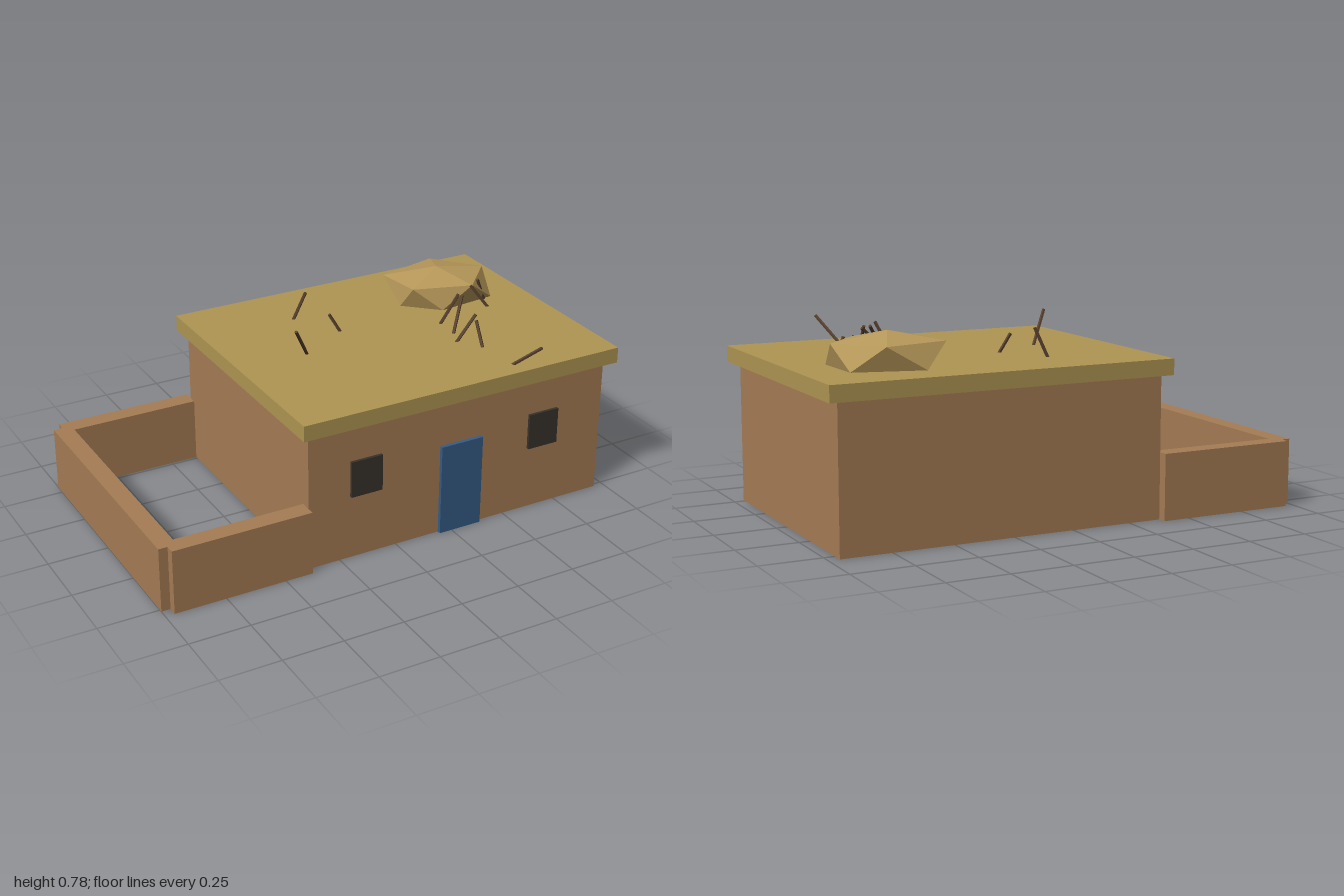
import * as THREE from 'three';
import { ConvexGeometry } from 'three/addons/geometries/ConvexGeometry.js';

const material = (name, color) => {
  const m = new THREE.MeshStandardMaterial({ color });
  m.name = name;
  return m;
};

export function createModel() {
  const model = new THREE.Group();
  model.name = 'mudHouse';

  const clay = material('clay', 0xa67d55);
  const thatch = material('thatch', 0xb09653);
  const straw = material('straw', 0xb8995a);
  const blue = material('bluePaint', 0x355c88);
  const dark = material('darkOpening', 0x38322b);
  const wood = material('wood', 0x5a4230);

  const add = (name, geometry, mat) => {
    const mesh = new THREE.Mesh(geometry, mat);
    mesh.name = name;
    model.add(mesh);
    return mesh;
  };

  // Box given by its minimum and maximum on each axis
  const box = (name, mat, x0, x1, y0, y1, z0, z1) =>
    add(name, new THREE.BoxGeometry(x1 - x0, y1 - y0, z1 - z0), mat)
      .position.set((x0 + x1) / 2, (y0 + y1) / 2, (z0 + z1) / 2);

  // House body and overhanging flat roof
  box('houseBody', clay, -0.385, 0.957, 0, 0.577, -0.549, 0.514);
  box('roof', thatch, -0.42, 1, 0.575, 0.64, -0.585, 0.549);

  // Door and windows
  box('door', blue, 0.195, 0.382, 0, 0.385, 0.51, 0.53);
  for (const x of [-0.137, 0.673]) {
    box('window', dark, x - 0.068, x + 0.068, 0.27, 0.422, 0.51, 0.526);
  }

  // Courtyard walls
  box('courtyardSideWall', clay, -1, -0.925, 0, 0.268, -0.548, 0.512);
  box('courtyardFrontWall', clay, -0.963, -0.387, 0, 0.268, 0.474, 0.549);
  box('courtyardBackWall', clay, -0.963, -0.387, 0, 0.268, -0.585, -0.51);

  // Faceted straw heap: apex, upper ring, lower ring
  const upper = [[0.44, -0.355], [0.71, -0.42], [0.86, -0.24], [0.71, -0.08], [0.468, -0.158]];
  const lower = [[0.553, -0.435], [0.83, -0.36], [0.837, -0.13], [0.58, -0.1], [0.448, -0.225]];
  add('strawHeap', new ConvexGeometry([
    new THREE.Vector3(0.635, 0.775, -0.25),
    ...upper.map(([x, z]) => new THREE.Vector3(x, 0.735, z)),
    ...lower.map(([x, z]) => new THREE.Vector3(x, 0.641, z)),
  ]), straw);

  // Loose sticks on the roof: foot x, z, then tip x, y, z
  const sticks = [
    [-0.01, -0.322, 0.04, 0.755, -0.305],
    [0.105, -0.125, 0.062, 0.715, -0.143],
    [0.77, -0.047, 0.7, 0.735, -0.08],
    [0.8, -0.125, 0.755, 0.74, -0.112],
    [-0.115, 0, -0.195, 0.775, 0.06],
    [0.495, 0.117, 0.588, 0.755, 0.03],
    [0.5, 0.007, 0.562, 0.77, 0.042],
    [0.462, 0.19, 0.565, 0.73, 0.17],
    [0.528, 0.285, 0.535, 0.73, 0.22],
    [0.545, 0.47, 0.604, 0.738, 0.578],
  ];
  const up = new THREE.Vector3(0, 1, 0);
  for (const [x0, z0, x1, y1, z1] of sticks) {
    const foot = new THREE.Vector3(x0, 0.635, z0);
    const tip = new THREE.Vector3(x1, y1, z1);
    const along = tip.clone().sub(foot);
    const stick = add('stick',
      new THREE.CylinderGeometry(0.007, 0.007, along.length(), 5).toNonIndexed(), wood);
    stick.geometry.computeVertexNormals();
    stick.position.copy(foot).add(tip).multiplyScalar(0.5);
    stick.quaternion.setFromUnitVectors(up, along.normalize());
  }

  return model;
}
